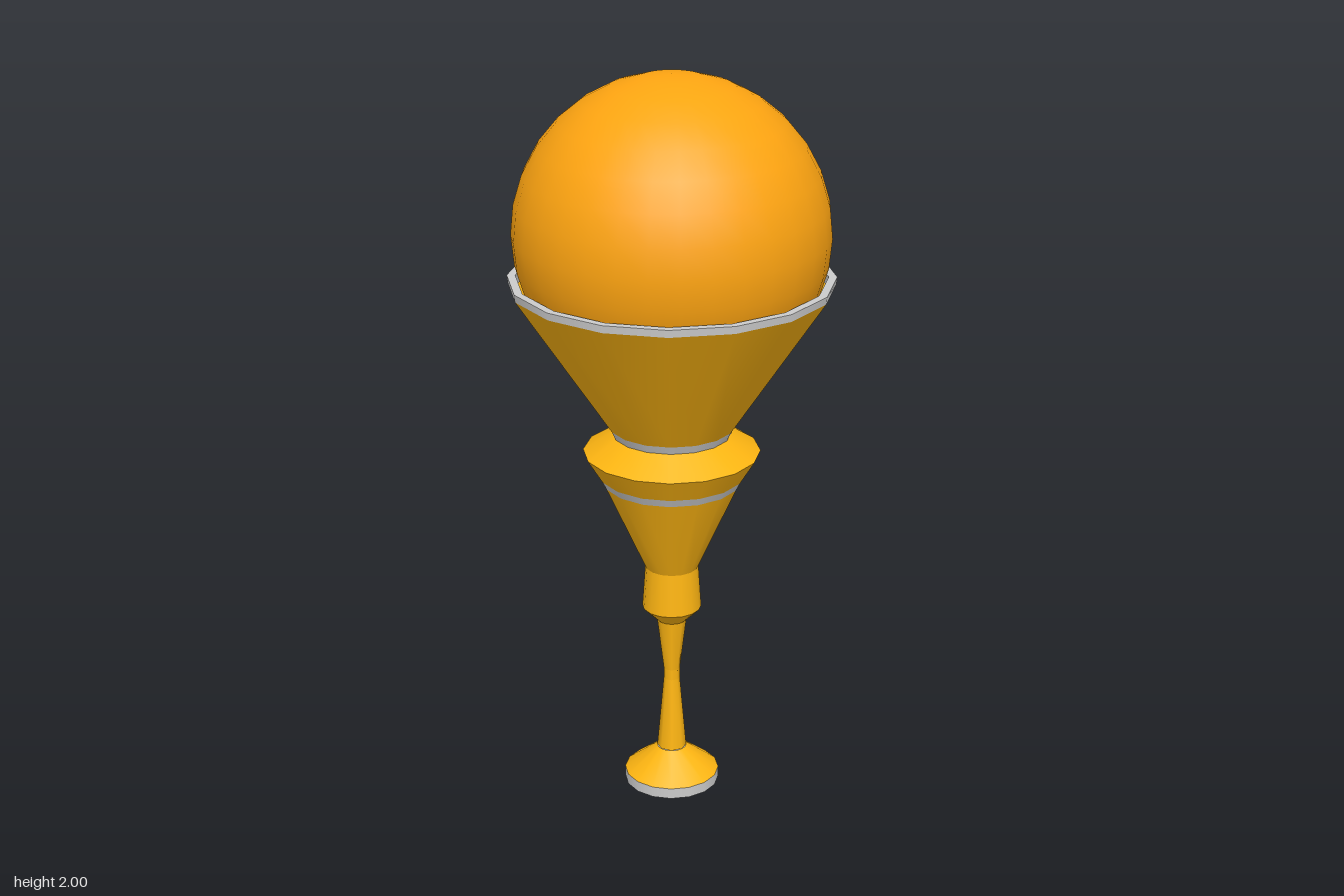
import * as THREE from 'three';
import { mergeGeometries } from 'three/addons/utils/BufferGeometryUtils.js';

const PHASE = 0.12;
const grey = new THREE.MeshStandardMaterial({ color: 0xcccccc, side: THREE.DoubleSide });
const yellow = new THREE.MeshStandardMaterial({ color: 0xffb612, side: THREE.DoubleSide });
const orange = new THREE.MeshStandardMaterial({ color: 0xffa511 });

// Turned part from [radius, height] points: smooth around, sharp between profile steps
function turned(name, profile, material, sides = 16) {
  const points = profile.map(([r, y]) => new THREE.Vector2(r, y));
  const bands = points.slice(1).map((p, i) =>
    new THREE.LatheGeometry([points[i], p], sides, PHASE));
  const mesh = new THREE.Mesh(mergeGeometries(bands), material);
  mesh.name = name;
  return mesh;
}

export function createModel() {
  const model = new THREE.Group();
  model.name = 'balloonTopper';

  model.add(
    // Foot and slender waisted stem
    turned('footDisc', [[0, 0], [0.13, 0], [0.13, 0.03]], grey),
    turned('footCone', [[0.13, 0.03], [0.04, 0.1]], yellow),
    turned('stem', [[0.04, 0.1], [0.022, 0.31], [0.022, 0.34], [0.04, 0.49]], yellow, 8),

    // Socket and lower funnel
    turned('socket', [[0.04, 0.49], [0.08, 0.53], [0.072, 0.65]], yellow),
    turned('lowerFunnel', [[0.072, 0.65], [0.185, 0.9]], yellow),
    turned('lowerBand', [[0.185, 0.9], [0.196, 0.922]], grey),

    // Flared collar
    turned('collar', [[0.196, 0.922], [0.236, 0.987], [0.158, 1.037]], yellow),
    turned('upperBand', [[0.158, 1.037], [0.168, 1.06]], grey),

    // Cup and its rim
    turned('cup', [[0.168, 1.06], [0.425, 1.45]], yellow),
    turned('cupRim', [[0.425, 1.45], [0.427, 1.47], [0.405, 1.47], [0.405, 1.44]], grey)
  );

  // Ball resting in the cup
  const ball = new THREE.Mesh(new THREE.SphereGeometry(0.413, 32, 16), orange);
  ball.name = 'ball';
  ball.position.y = 1.587;
  model.add(ball);

  return model;
}
